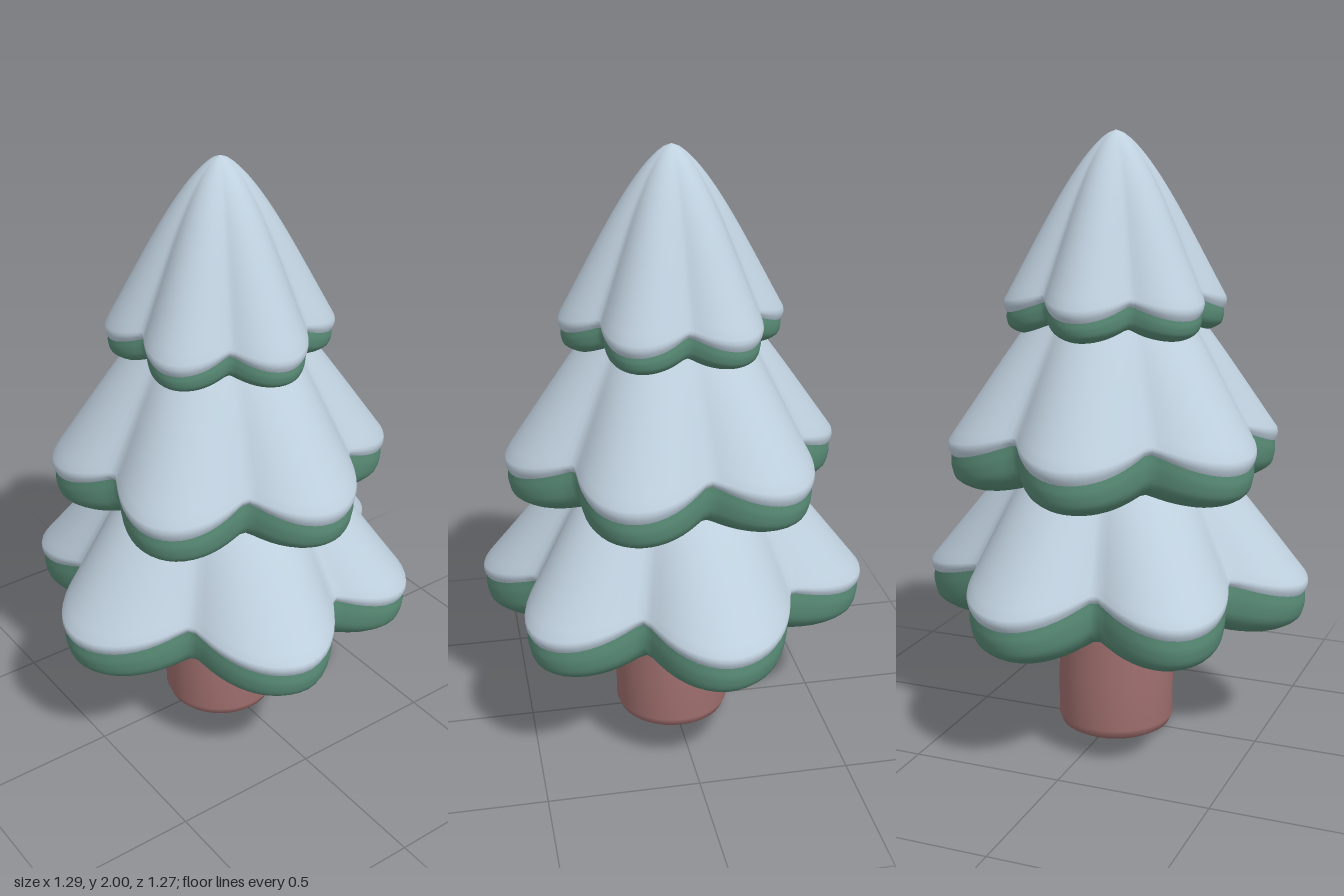
import * as THREE from 'three';

const COLUMNS = 120;
const { degToRad, lerp } = THREE.MathUtils;

// Lobe weight at an angle: 1 in the middle of a lobe, 0 in the crease between two lobes.
function lobeWeight(deg, lobes) {
  for (let i = 0; i < lobes.length; i++) {
    const a = lobes[i];
    const next = i + 1 < lobes.length ? lobes[i + 1] : lobes[0] + 360;
    const d = (deg - a + 720) % 360;
    if (d < next - a) {
      const c = Math.cos((d / (next - a)) * Math.PI);
      return (Math.sqrt(c * c + 0.015) - 0.122) / 0.886;
    }
  }
  return 0;
}

// Closed ring of columns; pointAt(w, t) gives [radius, y] from top (t = 0) to the end (t = 1).
function lobedSkin(lobes, steps, pointAt) {
  const pos = [], index = [], n = steps + 1;
  for (let c = 0; c < COLUMNS; c++) {
    const deg = (c / COLUMNS) * 360, w = lobeWeight(deg, lobes), a = degToRad(deg);
    for (let s = 0; s <= steps; s++) {
      const [r, y] = pointAt(w, s / steps);
      pos.push(r * Math.cos(a), y, r * Math.sin(a));
    }
    const next = (c + 1) % COLUMNS;
    for (let s = 0; s < steps; s++) {
      const p = c * n + s, q = next * n + s;
      index.push(p, q, p + 1, q, q + 1, p + 1);
    }
  }
  const geo = new THREE.BufferGeometry();
  geo.setAttribute('position', new THREE.Float32BufferAttribute(pos, 3));
  geo.setIndex(index);
  geo.computeVertexNormals();
  return geo;
}

// Pairs are [in a crease, at a lobe tip]; top is [radius, y] where the snow begins.
const TIERS = [
  {
    name: 'bottomTier', lobes: [-130, -77, -8, 50, 102, 172], top: [0.2, 1.04], bulge: 0.035,
    rimRadius: [0.485, 0.645], rimY: [0.62, 0.56], lip: [0.025, 0.04], depth: [0.155, 0.13],
  },
  {
    name: 'middleTier', lobes: [-155, -95, -35, 25, 85, 145], top: [0.14, 1.54], bulge: 0.03,
    rimRadius: [0.435, 0.553], rimY: [1.07, 1.02], lip: [0.025, 0.045], depth: [0.145, 0.115],
  },
  {
    name: 'topTier', lobes: [-150, -90, -30, 30, 90, 150], top: [0, 2], bulge: 0.045,
    rimRadius: [0.29, 0.362], rimY: [1.5, 1.47], lip: [0.025, 0.04], depth: [0.085, 0.07],
  },
];

// Bough cross-section from the snow rim to the middle: share of the rim radius, share of the depth.
const BOUGH = new THREE.CatmullRomCurve3([[1, 0], [1, 0.37], [0.955, 0.78], [0.82, 1], [0.57, 0.84],
  [0.26, 0.35]].map(([r, d]) => new THREE.Vector3(r, d, 0)));

const TUCK = 0.007;  // how far the snow lip curls in
const LIP_START = 0.88;

function snowPoint(tier, w, t) {
  const radius = lerp(...tier.rimRadius, w), y = lerp(...tier.rimY, w);
  if (t > LIP_START) {
    const k = (t - LIP_START) / (1 - LIP_START);
    return [radius + 0.006 * Math.sin(Math.PI * k) - TUCK * k, y - lerp(...tier.lip, w) * k];
  }
  const k = (t / LIP_START) ** 1.3;
  return [lerp(tier.top[0], radius, k) + tier.bulge * Math.sin(Math.PI * Math.sqrt(k)),
    lerp(tier.top[1], y, k)];
}

function boughPoint(tier, w, t) {
  const p = BOUGH.getPoint(t);
  return [(lerp(...tier.rimRadius, w) - TUCK) * p.x,
    lerp(...tier.rimY, w) - lerp(...tier.lip, w) - lerp(...tier.depth, w) * p.y];
}

function material(name, color) {
  const m = new THREE.MeshStandardMaterial({ color });
  m.name = name;
  return m;
}

function addMesh(parent, name, geometry, mat) {
  const mesh = new THREE.Mesh(geometry, mat);
  mesh.name = name;
  parent.add(mesh);
}

export function createModel() {
  const snow = material('snow', 0xbfd0de);
  const green = material('needleGreen', 0x5a8d78);
  const bark = material('bark', 0x9f6f6e);
  const tree = new THREE.Group();
  tree.name = 'snowyTree';

  // Trunk with a rounded foot
  const trunk = [[0, 0], [0.165, 0], [0.185, 0.012], [0.196, 0.04], [0.195, 0.2],
    [0.19, 0.35], [0.185, 0.62]].map(([x, y]) => new THREE.Vector2(x, y));
  addMesh(tree, 'trunk', new THREE.LatheGeometry(trunk, 40), bark);

  // Lobed boughs, each with a cap of snow
  for (const t of TIERS) {
    const tier = new THREE.Group();
    tier.name = t.name;
    addMesh(tier, 'snowCap', lobedSkin(t.lobes, 25, (w, k) => snowPoint(t, w, k)), snow);
    addMesh(tier, 'boughs', lobedSkin(t.lobes, 20, (w, k) => boughPoint(t, w, k)), green);
    tree.add(tier);
  }
  return tree;
}
